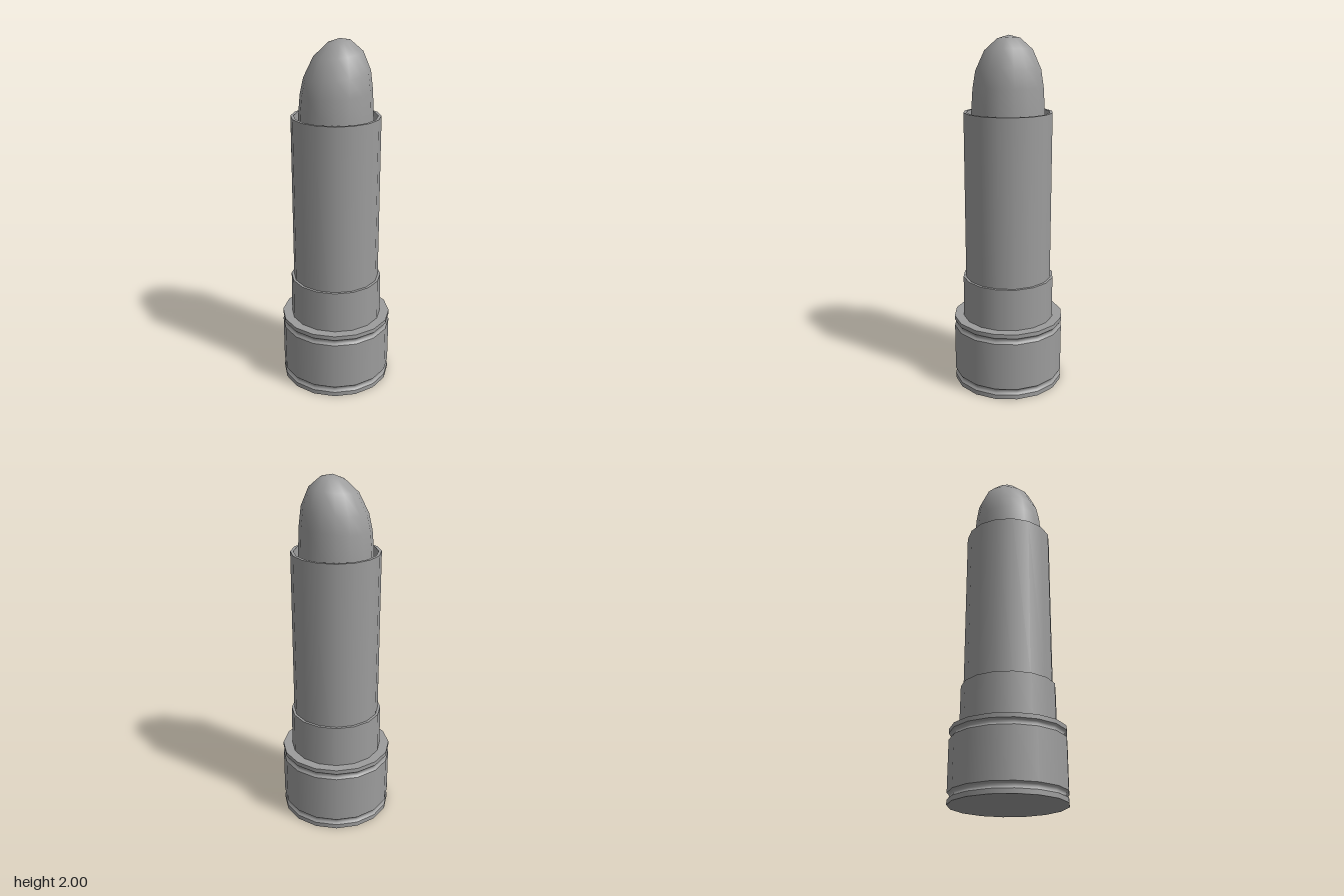
import * as THREE from 'three';
import { mergeGeometries, toCreasedNormals } from 'three/addons/utils/BufferGeometryUtils.js';

const SIDES = 16;
const material = new THREE.MeshStandardMaterial({ color: 0x9c9c9c });

// Turned part from runs of [radius, height] pairs: smooth within a run, sharp between runs
function turned(name, runs) {
  const bands = runs.map((run) =>
    new THREE.LatheGeometry(run.map(([r, y]) => new THREE.Vector2(r, y)), SIDES));
  const mesh = new THREE.Mesh(mergeGeometries(bands), material);
  mesh.name = name;
  return mesh;
}

// Shallow rounded groove starting at height y
const groove = (y) => [[0.318, y], [0.309, y + 0.008], [0.305, y + 0.018], [0.309, y + 0.028], [0.318, y + 0.036]];

// Tilts the rounded tip: higher on +x, with the apex pushed slightly that way
function slantTip(mesh) {
  const pos = mesh.geometry.attributes.position;
  for (let i = 0; i < pos.count; i++) {
    const x = pos.getX(i), y = pos.getY(i);
    const t = Math.max(0, (y - 1.6) / 0.4);
    pos.setX(i, x + 0.02 * t * t);
    pos.setY(i, y + 0.12 * x * Math.min(1, t * 2));
  }
  mesh.geometry = toCreasedNormals(mesh.geometry, 1);
  return mesh;
}

export function createModel() {
  const group = new THREE.Group();
  group.name = 'lipstick';

  // Wide base with a shallow groove near each end
  group.add(turned('base', [
    [[0, 0], [0.318, 0]],
    [[0.318, 0], [0.318, 0.026]],
    groove(0.026),
    [[0.318, 0.062], [0.318, 0.34]],
    groove(0.34),
    [[0.318, 0.376], [0.318, 0.4]],
    [[0.318, 0.4], [0.25, 0.4]],
  ]));

  // Stepped collar
  group.add(turned('collar', [
    [[0.264, 0.4], [0.262, 0.642]],
    [[0.262, 0.642], [0.24, 0.642]],
  ]));

  // Hollow sleeve with a thin rim and a bore narrowing towards the stick
  group.add(turned('sleeve', [
    [[0.247, 0.64], [0.247, 1.59]],
    [[0.247, 1.59], [0.23, 1.59]],
    [[0.23, 1.59], [0.211, 1.25]],
  ]));

  // Rounded stick
  group.add(slantTip(turned('stick', [[
    [0.211, 1.25], [0.21, 1.45], [0.204, 1.6], [0.196, 1.72], [0.18, 1.815],
    [0.132, 1.92], [0.063, 1.982], [0, 2],
  ]])));

  return group;
}
